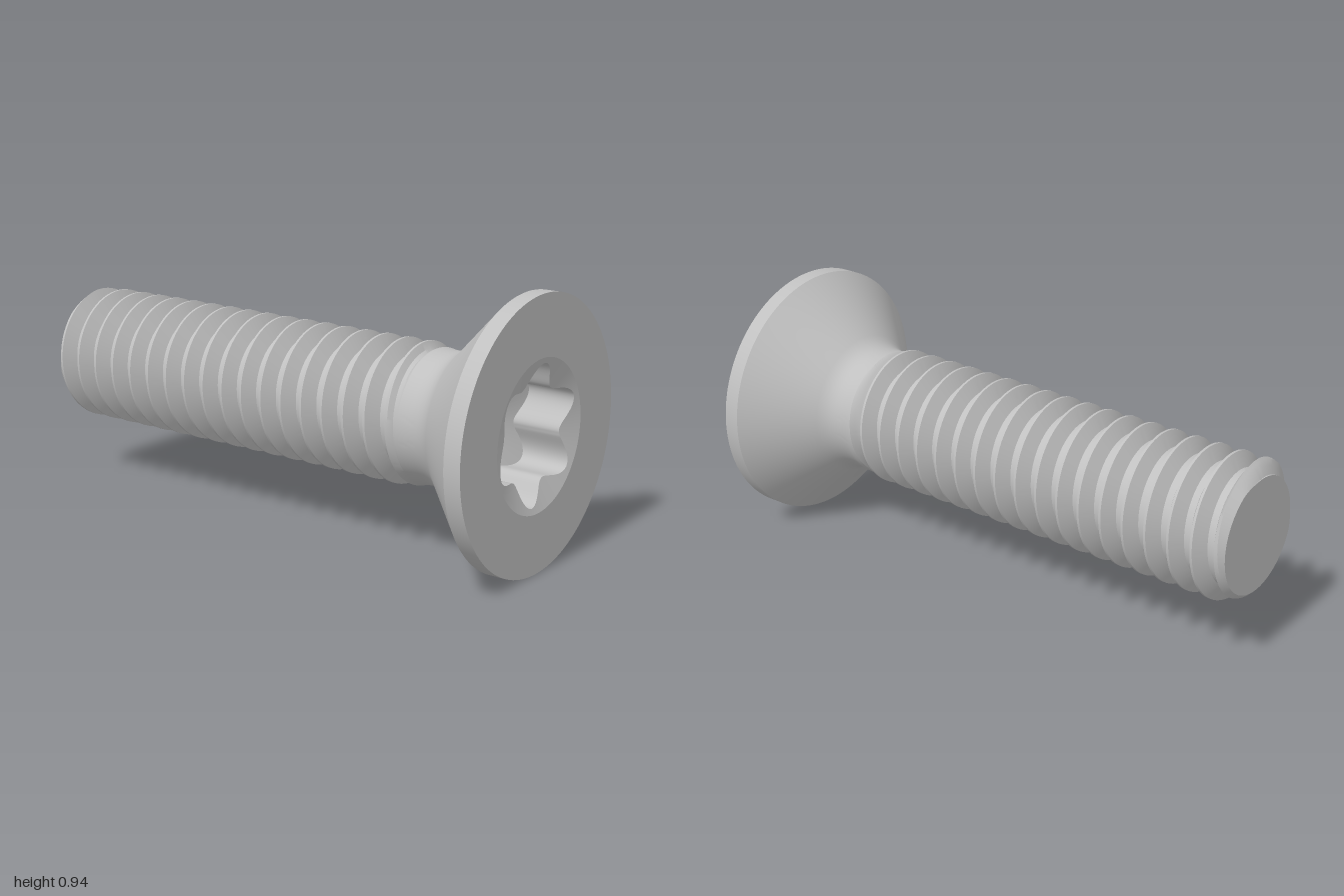
import * as THREE from 'three';
import { toCreasedNormals } from 'three/addons/utils/BufferGeometryUtils.js';

const AXIS_Y = 0.47;
const SEGMENTS = 144;
const PITCH = 0.0888;
const FIRST_CREST = -0.965;
const TIP_X = -1;
const THREAD_END = 0.6;
const NECK_R = 0.235;
const { clamp, lerp, smoothstep } = THREE.MathUtils;

// Skin a list of rows around the x axis; each row maps an angle to [x, radius].
function sweep(rows, crease) {
  const points = rows.map((row) => {
    const ring = [];
    for (let i = 0; i <= SEGMENTS; i++) {
      const a = (i / SEGMENTS) * Math.PI * 2;
      const [x, r] = row(a);
      ring.push(new THREE.Vector3(x, AXIS_Y + r * Math.cos(a), r * Math.sin(a)));
    }
    return ring;
  });
  const positions = [];
  const triangle = (a, b, c) => {
    const e = 1e-6;
    if (a.distanceTo(b) < e || b.distanceTo(c) < e || c.distanceTo(a) < e) return;
    for (const p of [a, b, c]) positions.push(p.x, p.y, p.z);
  };
  for (let j = 0; j < points.length - 1; j++) {
    for (let i = 0; i < SEGMENTS; i++) {
      const a = points[j][i], b = points[j][i + 1];
      const c = points[j + 1][i + 1], d = points[j + 1][i];
      triangle(a, b, c);
      triangle(a, c, d);
    }
  }
  const geometry = new THREE.BufferGeometry();
  geometry.setAttribute('position', new THREE.Float32BufferAttribute(positions, 3));
  return toCreasedNormals(geometry, crease);
}

// Right-handed V thread with a chamfered tip and a run-out into the neck
function threadRadius(x, a) {
  const turn = (x - FIRST_CREST) / PITCH - a / (Math.PI * 2);
  const fromCrest = Math.abs(turn - Math.round(turn));
  const vee = 0.25 - 0.05 * clamp((fromCrest - 0.05) / 0.31, 0, 1);
  const chamfered = Math.min(vee, 0.208 + (x - TIP_X));
  return lerp(chamfered, NECK_R, smoothstep(x, 0.555, THREAD_END));
}

// Six-lobed outline of the drive socket
const lobeRadius = (a) => 0.207 + 0.033 * Math.cos(6 * (a + THREE.MathUtils.degToRad(7)));

export function createModel() {
  const group = new THREE.Group();
  const steel = new THREE.MeshStandardMaterial({ color: 0xc0c0c0 });
  steel.name = 'steel';
  const add = (name, rows, crease = 0.5) => {
    const mesh = new THREE.Mesh(sweep(rows, crease), steel);
    mesh.name = name;
    group.add(mesh);
  };
  const circle = ([x, r]) => () => [x, r];

  // Threaded shank: rows follow the helix and are trimmed at both ends
  const threadRows = [];
  for (let k = -2; k <= 18; k++) {
    for (const u of [0.05, 0.2, 0.36, 0.5, 0.64, 0.8, 0.95]) {
      threadRows.push((a) => {
        const x = clamp(FIRST_CREST + PITCH * (a / (Math.PI * 2) + k + u), TIP_X, THREAD_END);
        return [x, threadRadius(x, a)];
      });
    }
  }
  add('threadedShank', threadRows);

  // Flat tip
  add('tip', [circle([TIP_X, 0]), (a) => [TIP_X, threadRadius(TIP_X, a)]]);

  // Neck fillet, countersunk cone, rim and flat face
  add('head', [
    [THREAD_END, NECK_R], [0.625, 0.231], [0.65, 0.23], [0.675, 0.233], [0.695, 0.239],
    [0.715, 0.249], [0.735, 0.265], [0.94, 0.47], [1, 0.47], [1, 0.26],
  ].map(circle));

  // Drive socket: shallow countersink, lobed wall and conical floor
  const floorX = (r) => 0.725 + 0.4 * r;
  add('driveSocket', [
    circle([1, 0.26]),
    (a) => [1 - 0.35 * (0.26 - lobeRadius(a)), lobeRadius(a)],
    (a) => [floorX(lobeRadius(a)), lobeRadius(a)],
    circle([floorX(0.1), 0.1]),
    circle([floorX(0), 0]),
  ]);

  return group;
}
